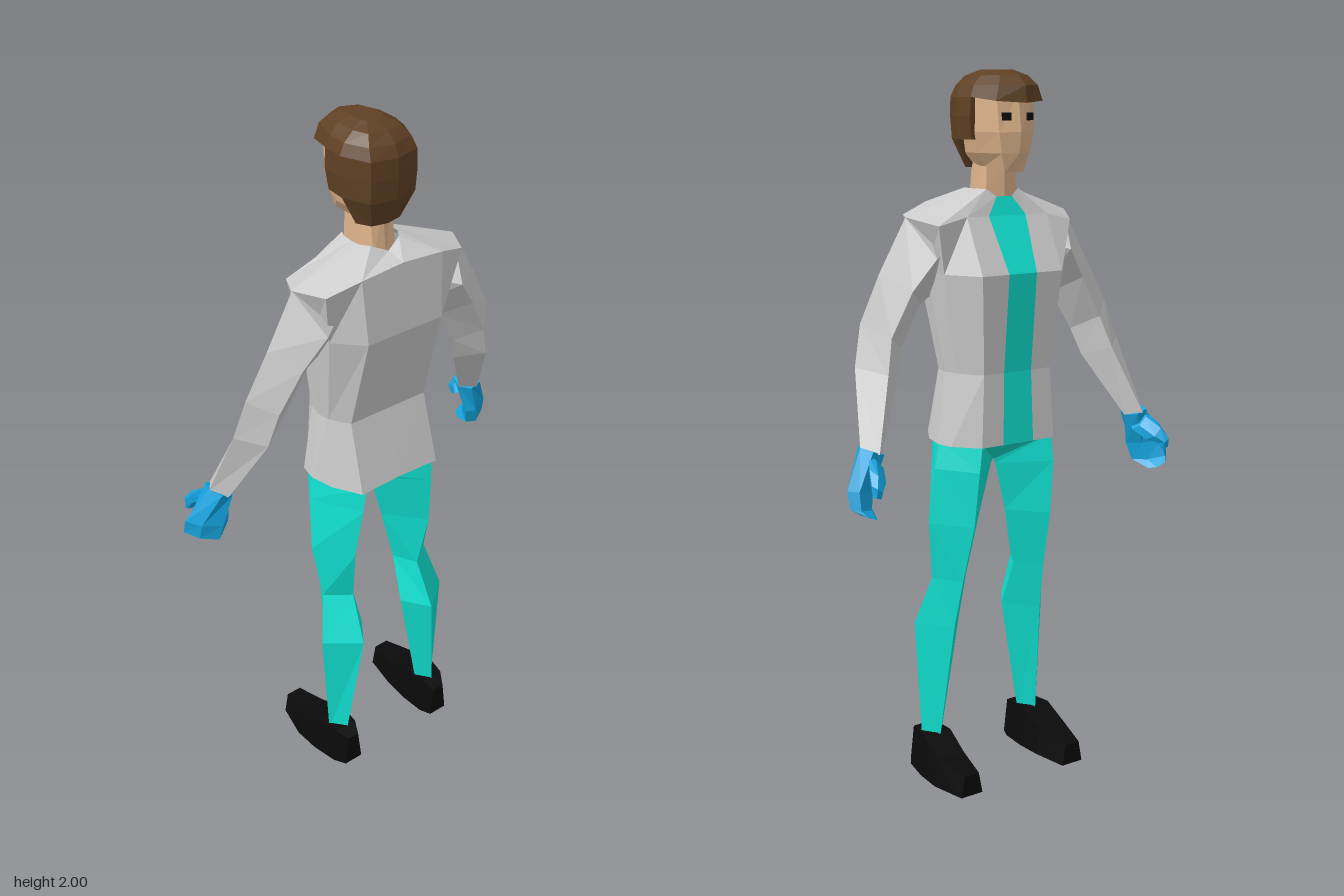
import * as THREE from 'three';

const COLORS = { grey: 0xcccccc, teal: 0x10e0d0, blue: 0x14a5e0, black: 0x0a0a0a, hair: 0x5f4023, skin: 0xdeb48c };
const mats = {};
for (const k in COLORS) {
  mats[k] = new THREE.MeshStandardMaterial({ color: COLORS[k], flatShading: true, side: THREE.DoubleSide });
}

// Skin a list of cross-sections; faces are turned outward by the sign of the volume.
function loft(name, color, rings, { closed = true, capStart = false, capEnd = false } = {}) {
  const n = rings[0].length, pos = rings.flat(2), idx = [];
  const segs = closed ? n : n - 1;
  for (let r = 0; r < rings.length - 1; r++) {
    for (let i = 0; i < segs; i++) {
      const a = r * n + i, b = r * n + (i + 1) % n;
      idx.push(a, b, a + n, b, b + n, a + n);
    }
  }
  const cap = (r, flip) => {
    const c = [0, 1, 2].map(k => rings[r].reduce((s, p) => s + p[k], 0) / n);
    const m = pos.length / 3;
    pos.push(...c);
    for (let i = 0; i < n; i++) {
      const a = r * n + i, b = r * n + (i + 1) % n;
      idx.push(...(flip ? [m, b, a] : [m, a, b]));
    }
  };
  if (capStart) cap(0, true);
  if (capEnd) cap(rings.length - 1, false);

  const pt = i => new THREE.Vector3().fromArray(pos, i * 3);
  const mid = new THREE.Vector3();
  for (let i = 0; i < pos.length / 3; i++) mid.addScaledVector(pt(i), 3 / pos.length);
  let vol = 0;
  for (let i = 0; i < idx.length; i += 3) {
    const [a, b, c] = [0, 1, 2].map(k => pt(idx[i + k]).sub(mid));
    vol += a.dot(b.cross(c));
  }
  if (vol < 0) idx.reverse();

  const indexed = new THREE.BufferGeometry();
  indexed.setAttribute('position', new THREE.Float32BufferAttribute(pos, 3));
  indexed.setIndex(idx);
  const g = indexed.toNonIndexed();
  g.computeVertexNormals();
  const mesh = new THREE.Mesh(g, mats[color]);
  mesh.name = name;
  return mesh;
}

// Half section [x, z, y?] on the +x side, mirrored into a symmetric section at height y.
function mirrored(y, half) {
  const right = half.map(([x, z, yy = y]) => [x, yy, z]);
  const left = right.filter(p => p[0] > 0).reverse().map(([x, yy, z]) => [-x, yy, z]);
  return [...right, ...left];
}

// Limb section with n sides from its outer and inner points [x, y] and its z range;
// skew slides the outer edge along z against the inner one.
function limb(n, [ox, oy], [ix, iy], z0, z1, skew = 0) {
  const peak = n === 6 ? Math.sin(Math.PI / 3) : 1;
  return Array.from({ length: n }, (_, i) => {
    const a = i * 2 * Math.PI / n, t = (1 + Math.cos(a)) / 2;
    const z = (z0 + z1) / 2 + (z1 - z0) / 2 * Math.sin(a) / peak + skew * (t - 0.5);
    return [ix + (ox - ix) * t, iy + (oy - iy) * t, z];
  });
}

function createSide(s, word) {
  const side = new THREE.Group();
  side.name = word + 'Limbs';
  const add = (name, color, rings) => side.add(loft(word + name, color,
    rings.map(r => r.map(([x, y, z]) => [x * s, y, z])), { capStart: true, capEnd: true }));

  // Sleeve, diamond in section
  add('Sleeve', 'grey', [
    limb(4, [0.2, 1.61], [0.13, 1.45], 0.0, 0.1),
    limb(4, [0.262, 1.62], [0.18, 1.41], -0.045, 0.138),
    limb(4, [0.345, 1.475], [0.22, 1.385], -0.02, 0.115),
    limb(4, [0.41, 1.35], [0.285, 1.275], -0.018, 0.095),
    limb(4, [0.44, 1.24], [0.31, 1.2], -0.045, 0.08),
    limb(4, [0.475, 1.04], [0.41, 1.02], -0.11, -0.02),
  ]);

  // Mitten-like hand with curled fingers
  add('Hand', 'blue', [
    limb(6, [0.475, 1.045], [0.41, 1.02], -0.105, -0.025),
    limb(6, [0.535, 0.945], [0.43, 0.93], -0.105, -0.045, -0.05),
    limb(6, [0.535, 0.9], [0.445, 0.88], -0.12, -0.055, -0.05),
    limb(6, [0.515, 0.885], [0.46, 0.862], -0.145, -0.105, -0.01),
  ]);
  add('Thumb', 'blue', [
    limb(6, [0.465, 1.03], [0.42, 0.98], -0.11, -0.07),
    limb(6, [0.485, 1.0], [0.44, 0.955], -0.155, -0.105),
    limb(6, [0.495, 0.965], [0.465, 0.945], -0.176, -0.14),
    limb(6, [0.495, 0.935], [0.47, 0.93], -0.172, -0.155),
  ]);

  // Leg: outer, back, inner and front ridges [x, z] per section
  const leg = (y, o, b, i, f, yi = y) =>
    [[o[0], y, o[1]], [b[0], y, b[1]], [i[0], yi, i[1]], [f[0], y, f[1]]];
  add('Leg', 'teal', [
    leg(1.01, [0.186, 0.01], [0.115, 0.158], [0, 0.02], [0.115, -0.1], 0.935),
    leg(0.93, [0.2, 0.01], [0.122, 0.152], [0.008, 0.02], [0.125, -0.1], 0.915),
    leg(0.77, [0.21, 0.03], [0.135, 0.132], [0.045, 0.025], [0.13, -0.08]),
    leg(0.6, [0.19, 0.05], [0.12, 0.103], [0.083, 0.035], [0.14, -0.035]),
    leg(0.46, [0.225, 0.09], [0.13, 0.165], [0.075, 0.085], [0.15, -0.005]),
    leg(0.1, [0.205, 0.09], [0.17, 0.132], [0.138, 0.09], [0.172, 0.045]),
  ]);

  // Shoe, built from heel to toe
  add('Shoe', 'black', [
    [0.165, 0.14, 0.2, 0.1], [0.13, 0.125, 0.22, 0.12], [0.05, 0.12, 0.235, 0.12],
    [-0.03, 0.125, 0.238, 0.08], [-0.135, 0.143, 0.214, 0.063],
  ].map(([z, x0, x1, h]) =>
    [[x0, 0, z], [x1, 0, z], [x1 - 0.012, h, z], [x0 + 0.012, h, z]]));
  return side;
}

export function createModel() {
  const model = new THREE.Group();
  model.name = 'figure';

  // Jacket, open down the front, and the shirt strip that fills the opening
  const torso = [
    [1.0, [[0.05, -0.105], [0.12, -0.105], [0.18, -0.04], [0.19, 0.01], [0.175, 0.08], [0.13, 0.16], [0, 0.16, 1.005]]],
    [1.2, [[0.045, -0.1], [0.11, -0.1], [0.155, -0.03], [0.165, 0.01], [0.16, 0.05], [0.125, 0.105], [0, 0.105]]],
    [1.47, [[0.045, -0.125], [0.13, -0.125], [0.19, -0.03], [0.2, 0.04], [0.19, 0.1], [0.12, 0.172], [0, 0.172]]],
    [1.62, [[0.06, -0.05], [0.13, -0.05], [0.215, -0.045, 1.6], [0.262, 0.045], [0.22, 0.13], [0.13, 0.158, 1.65], [0, 0.158, 1.66]]],
    [1.69, [[0.025, -0.035, 1.67], [0.052, -0.025], [0.062, 0], [0.065, 0.03], [0.062, 0.06], [0.045, 0.085], [0, 0.1, 1.67]]],
  ];
  model.add(loft('jacket', 'grey', torso.map(([y, h]) => mirrored(y, h)), { closed: false }));
  model.add(loft('shirtFront', 'teal', torso.map(([y, h]) => {
    const [x, z, yy = y] = h[0];
    return [[x, yy, z], [-x, yy, z]];
  }), { closed: false }));

  // Pelvis wedge between the legs, narrowing to the crotch
  model.add(loft('pelvis', 'teal', [
    mirrored(1.01, [[0.115, -0.1], [0.115, 0.158]]),
    mirrored(0.93, [[0.002, 0.015], [0.002, 0.025]]),
  ], { capStart: true, capEnd: true }));

  // Neck and head
  model.add(loft('neck', 'skin', [
    mirrored(1.65, [[0, -0.035], [0.05, -0.02], [0.058, 0.04], [0.035, 0.085], [0, 0.09]]),
    mirrored(1.79, [[0, -0.035], [0.045, -0.02], [0.055, 0.03], [0.035, 0.065], [0, 0.075]]),
  ], { capStart: true, capEnd: true }));
  model.add(loft('head', 'skin', [
    [1.735, [[0, -0.085], [0.03, -0.08], [0.05, -0.015, 1.75], [0.05, 0.03, 1.75], [0, 0.06, 1.75]]],
    [1.785, [[0, -0.105], [0.045, -0.088], [0.075, -0.015], [0.072, 0.05], [0, 0.09]]],
    [1.84, [[0, -0.113], [0.055, -0.092], [0.088, -0.02], [0.085, 0.05], [0, 0.1]]],
    [1.94, [[0, -0.1], [0.06, -0.085], [0.09, -0.02], [0.085, 0.05], [0, 0.1]]],
  ].map(([y, h]) => mirrored(y, h)), { capStart: true, capEnd: true }));
  for (const s of [-1, 1]) {
    const eye = new THREE.Mesh(new THREE.BoxGeometry(0.024, 0.02, 0.014), mats.black);
    eye.position.set(s * 0.036, 1.88, -0.095);
    eye.rotation.y = -s * 0.3;
    eye.name = s > 0 ? 'leftEye' : 'rightEye';
    model.add(eye);
  }

  // Hair: cap with a fringe, then the sides and the nape
  model.add(loft('hairCap', 'hair', [
    [1.93, [[0, -0.138, 1.915], [0.075, -0.105, 1.92], [0.1, -0.025], [0.105, 0.04], [0.072, 0.118], [0, 0.135]]],
    [1.96, [[0, -0.133], [0.062, -0.1], [0.088, -0.02], [0.092, 0.04], [0.065, 0.103], [0, 0.12]]],
    [1.985, [[0, -0.1], [0.045, -0.08], [0.065, -0.02], [0.065, 0.04], [0.05, 0.08], [0, 0.09]]],
    [2.0, [[0, -0.05], [0.025, -0.04], [0.035, -0.01], [0.035, 0.03], [0.025, 0.045], [0, 0.05]]],
  ].map(([y, h]) => mirrored(y, h)), { capStart: true, capEnd: true }));
  model.add(loft('hairSides', 'hair', [
    [1.93, [[0.085, -0.025], [0.1, -0.025], [0.105, 0.04], [0.072, 0.118], [0, 0.135]]],
    [1.88, [[0.085, -0.025], [0.103, -0.025], [0.107, 0.04], [0.072, 0.12], [0, 0.136]]],
    [1.82, [[0.08, -0.02], [0.095, -0.02], [0.1, 0.04], [0.07, 0.115], [0, 0.132]]],
  ].map(([y, h]) => mirrored(y, h)), { closed: false }));
  model.add(loft('hairNape', 'hair', [
    [1.82, [[0.08, 0.04], [0.1, 0.04], [0.07, 0.115], [0, 0.132]]],
    [1.745, [[0.05, 0.05], [0.065, 0.05], [0.045, 0.088], [0, 0.098]]],
  ].map(([y, h]) => mirrored(y, h)), { capEnd: true }));

  // Arms, legs and shoes
  model.add(createSide(1, 'left'), createSide(-1, 'right'));
  return model;
}
